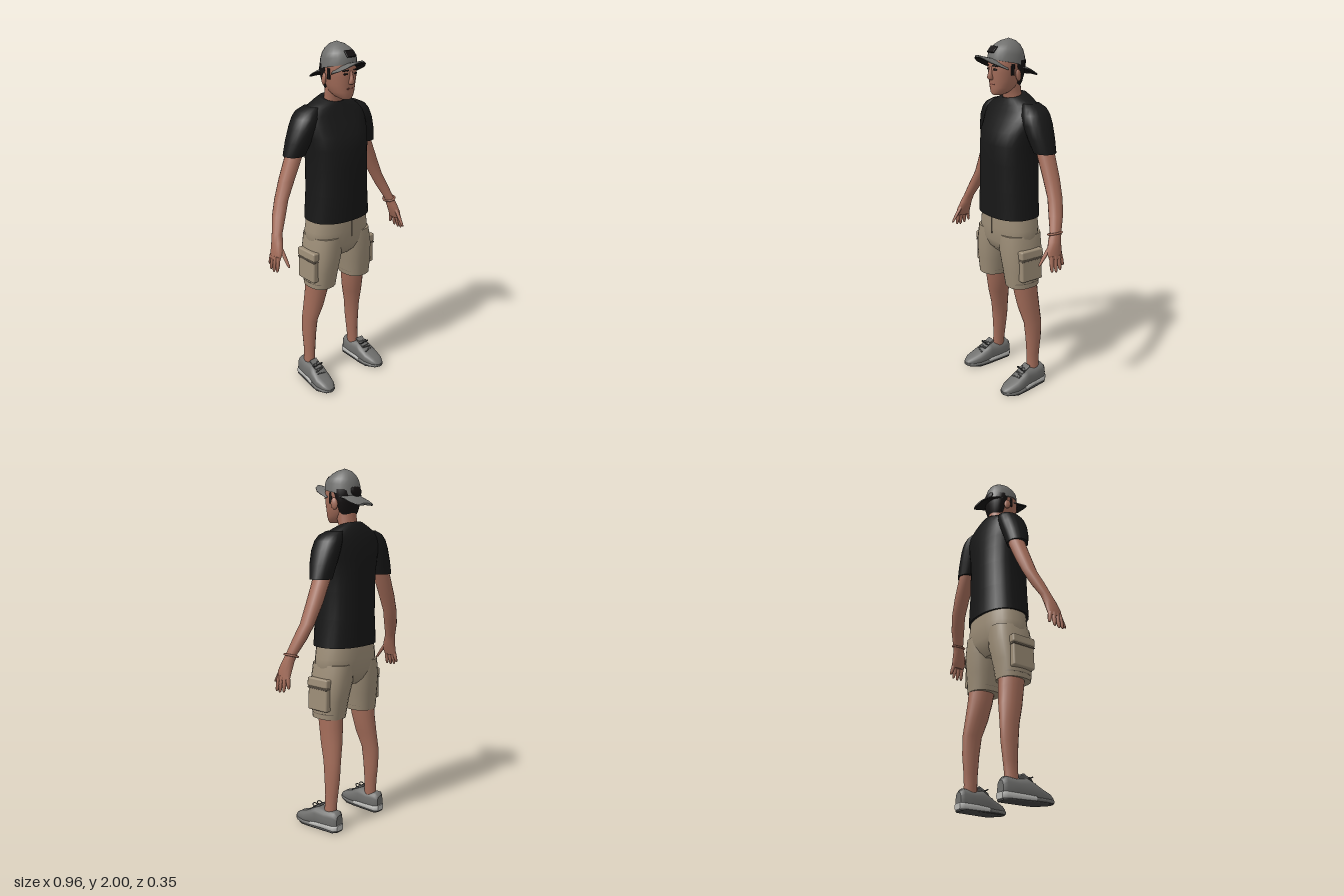
import * as THREE from 'three';
import { RoundedBoxGeometry } from 'three/addons/geometries/RoundedBoxGeometry.js';

const mat = (name, color) => {
  const m = new THREE.MeshStandardMaterial({ color });
  m.name = name;
  return m;
};

// Skin a row of elliptical rings [t, cx, c2, rx, r2, tilt] along y (c2 = z) or z (c2 = y).
// s mirrors the centres; e < 1 squares the ellipse; droop bends the sides down.
function loft(rings, { s = 1, n = 20, e = 1, axis = 'y', droop = 0 } = {}) {
  const pos = [], idx = [];
  const pw = v => Math.sign(v) * Math.abs(v) ** e;
  const rows = [...rings].sort((a, b) => a[0] - b[0]);
  const addRing = ([t, cx, c2, rx, r2, tilt = 0]) => {
    for (let j = 0; j < n; j++) {
      const a = (j / n) * Math.PI * 2, dx = rx * pw(Math.cos(a)), d2 = r2 * pw(Math.sin(a));
      if (axis === 'y') pos.push(cx * s + dx, t - tilt * d2, c2 - d2);
      else pos.push(cx * s + dx, c2 + d2 - droop * dx * dx, t);
    }
  };
  rows.forEach(addRing);
  for (let i = 0; i < rows.length - 1; i++) for (let j = 0; j < n; j++) {
    const k = (j + 1) % n, a = i * n + j, b = i * n + k, c = b + n, d = a + n;
    idx.push(a, b, c, a, c, d);
  }
  [[rows[0], true], [rows[rows.length - 1], false]].forEach(([r, first]) => {
    const base = pos.length / 3;
    addRing(r);
    pos.push(...(axis === 'y' ? [r[1] * s, r[0], r[2]] : [r[1] * s, r[2], r[0]]));
    for (let j = 0; j < n; j++) {
      const a = base + j, b = base + (j + 1) % n;
      first ? idx.push(base + n, b, a) : idx.push(base + n, a, b);
    }
  });
  const g = new THREE.BufferGeometry();
  g.setAttribute('position', new THREE.Float32BufferAttribute(pos, 3));
  g.setIndex(idx);
  g.computeVertexNormals();
  return g;
}

export function createModel() {
  const model = new THREE.Group();
  const skin = mat('skin', 0xa46d5a), shirt = mat('black cloth', 0x171717), tan = mat('khaki', 0x9c8d77);
  const seam = mat('dark khaki', 0x75695a), grey = mat('grey cloth', 0x6e6e6c), hair = mat('dark hair', 0x151212);
  const sole = mat('pale rubber', 0xb9b9b6), lace = mat('dark grey', 0x444443), lip = mat('lip', 0x80483e);

  const add = (name, geo, material, p = [0, 0, 0], r = [0, 0, 0], sc = [1, 1, 1]) => {
    const m = new THREE.Mesh(geo, material);
    m.name = name;
    m.position.set(...p); m.rotation.set(...r); m.scale.set(...sc);
    model.add(m);
    return m;
  };
  const ball = new THREE.SphereGeometry(1, 14, 10);
  const box = (x, y, z, r = 0.004) => new RoundedBoxGeometry(x, y, z, 2, r);

  // Shirt body, neck
  add('shirt', loft([
    [1.045, 0, -0.022, 0.195, 0.142], [1.2, 0, -0.022, 0.181, 0.142], [1.35, 0, -0.024, 0.177, 0.142],
    [1.45, 0, -0.026, 0.182, 0.141], [1.52, 0, -0.035, 0.193, 0.132], [1.58, 0, -0.05, 0.205, 0.112],
    [1.63, 0, -0.057, 0.205, 0.095], [1.662, 0, -0.06, 0.17, 0.082, -0.05],
    [1.69, 0, -0.058, 0.11, 0.07, -0.15], [1.705, 0, -0.055, 0.072, 0.06, -0.25],
  ], { n: 28, e: 0.85 }), shirt);
  add('neck', loft([[1.63, 0, -0.05, 0.062, 0.05], [1.69, 0, -0.046, 0.058, 0.048],
    [1.73, 0, -0.036, 0.056, 0.052], [1.8, 0, -0.02, 0.06, 0.06]]), skin);

  // Shorts seat and fly
  add('shortsSeat', loft([[1.06, 0, -0.025, 0.183, 0.126], [0.98, 0, -0.026, 0.196, 0.129],
    [0.9, 0, -0.024, 0.2, 0.122], [0.85, 0, -0.022, 0.15, 0.1], [0.82, 0, -0.022, 0.08, 0.07]],
    { n: 28, e: 0.85 }), tan);
  add('flySeam', box(0.006, 0.1, 0.006, 0.002), seam, [0.008, 0.99, 0.102]);

  for (const s of [1, -1]) {
    const side = s > 0 ? 'left' : 'right';
    const part = (name, rings, material, o = {}) => add(side + name, loft(rings, { s, ...o }), material);

    // Sleeve and arm
    part('Sleeve', [[1.425, 0.25, -0.075, 0.062, 0.06, 0], [1.5, 0.226, -0.068, 0.068, 0.075],
      [1.57, 0.2, -0.064, 0.07, 0.084], [1.62, 0.18, -0.064, 0.066, 0.082],
      [1.65, 0.165, -0.066, 0.056, 0.07], [1.672, 0.135, -0.068, 0.035, 0.05]], shirt);
    part('Arm', [[1.48, 0.23, -0.078, 0.045, 0.05], [1.4, 0.26, -0.079, 0.045, 0.05],
      [1.3, 0.304, -0.077, 0.042, 0.047], [1.2, 0.348, -0.07, 0.035, 0.043],
      [1.12, 0.384, -0.048, 0.034, 0.041], [1.04, 0.419, -0.02, 0.026, 0.033],
      [1.0, 0.43, -0.006, 0.027, 0.038], [0.95, 0.443, 0.006, 0.023, 0.047],
      [0.91, 0.454, 0.003, 0.015, 0.042]], skin, { n: 14 });

    // Fingers as [start, end] points, thumb last
    [[[0.455, 0.93, 0.034], [0.47, 0.846, 0.04]], [[0.456, 0.93, 0.013], [0.473, 0.842, 0.014]],
      [[0.456, 0.93, -0.008], [0.471, 0.848, -0.014]], [[0.452, 0.93, -0.026], [0.46, 0.865, -0.04]],
      [[0.434, 0.985, 0.02], [0.43, 0.88, 0.095]]].forEach(([a, b], i) => {
      const ring = (t, r) => [a[1] + (b[1] - a[1]) * t, a[0] + (b[0] - a[0]) * t, a[2] + (b[2] - a[2]) * t, r, r];
      part(i < 4 ? 'Finger' : 'Thumb', [ring(0, 0.012), ring(0.6, 0.011), ring(0.9, 0.008), ring(1, 0.004)], skin, { n: 8 });
    });

    // Shorts leg with hem and cargo pocket
    part('ShortsLeg', [[0.645, 0.132, -0.02, 0.081, 0.095], [0.75, 0.125, -0.02, 0.092, 0.108],
      [0.85, 0.112, -0.023, 0.1, 0.122], [0.95, 0.1, -0.025, 0.095, 0.12]], tan, { e: 0.85 });
    part('Hem', [[0.672, 0.1305, -0.02, 0.0845, 0.098], [0.677, 0.1305, -0.02, 0.0845, 0.098]], seam, { e: 0.85 });
    add(side + 'Pocket', box(0.045, 0.16, 0.14, 0.01), tan, [s * 0.207, 0.775, -0.02], [0, 0, s * 0.04]);
    add(side + 'PocketSeam', box(0.047, 0.008, 0.144, 0.003), seam, [s * 0.209, 0.822, -0.02]);
    add(side + 'PocketFlap', box(0.05, 0.05, 0.148, 0.01), tan, [s * 0.207, 0.852, -0.02], [0, 0, s * 0.08]);

    // Leg
    part('Leg', [[0.72, 0.134, -0.03, 0.066, 0.08], [0.6, 0.14, -0.042, 0.061, 0.073],
      [0.5, 0.151, -0.056, 0.052, 0.068], [0.4, 0.167, -0.074, 0.039, 0.057],
      [0.3, 0.171, -0.078, 0.036, 0.05], [0.2, 0.173, -0.075, 0.031, 0.041],
      [0.14, 0.176, -0.072, 0.03, 0.038], [0.08, 0.18, -0.07, 0.032, 0.04]], skin, { n: 16 });

    // Shoe: upper, two-part sole, outsole, tongue and laces
    part('ShoeUpper', [[-0.143, 0.182, 0.055, 0.025, 0.045], [-0.125, 0.183, 0.064, 0.042, 0.056],
      [-0.06, 0.185, 0.06, 0.047, 0.054], [0, 0.189, 0.064, 0.051, 0.058], [0.03, 0.192, 0.056, 0.055, 0.05],
      [0.08, 0.196, 0.041, 0.055, 0.037], [0.13, 0.198, 0.032, 0.044, 0.028], [0.155, 0.199, 0.025, 0.028, 0.019],
      [0.165, 0.2, 0.021, 0.012, 0.01]], grey, { axis: 'z', e: 0.75 });
    part('HeelSole', [[-0.148, 0.182, 0.026, 0.026, 0.017], [-0.128, 0.183, 0.026, 0.046, 0.019],
      [-0.05, 0.185, 0.025, 0.05, 0.018], [0.03, 0.192, 0.022, 0.059, 0.013]], sole, { axis: 'z', e: 0.5 });
    part('ToeSole', [[0.03, 0.192, 0.018, 0.059, 0.013], [0.08, 0.196, 0.017, 0.06, 0.012],
      [0.13, 0.198, 0.019, 0.048, 0.011], [0.157, 0.199, 0.021, 0.03, 0.01], [0.168, 0.2, 0.022, 0.012, 0.006]],
      grey, { axis: 'z', e: 0.5 });
    part('Outsole', [[-0.142, 0.182, 0.007, 0.026, 0.007], [-0.125, 0.183, 0.006, 0.045, 0.006],
      [0.03, 0.192, 0.006, 0.058, 0.006], [0.09, 0.196, 0.006, 0.058, 0.006], [0.15, 0.199, 0.012, 0.032, 0.006]],
      lace, { axis: 'z', e: 0.5 });
    add(side + 'Tongue', box(0.05, 0.012, 0.07), grey, [s * 0.189, 0.122, 0.005], [0.5, 0, 0]);
    for (let i = 0; i < 4; i++)
      add(side + 'Lace', box(0.056, 0.007, 0.009, 0.003), lace,
        [s * 0.192, 0.126 - i * 0.013, 0.006 + i * 0.018], [0.55, (i % 2 ? 0.2 : -0.2) * s, 0]);
    add(side + 'LaceLoop', new THREE.TorusGeometry(0.014, 0.003, 6, 14), lace, [s * 0.189 + 0.018, 0.125, 0.022], [1.1, 0, 0]);
    add(side + 'LaceLoop', new THREE.TorusGeometry(0.014, 0.003, 6, 14), lace, [s * 0.189 - 0.018, 0.125, 0.022], [1.1, 0, 0]);

    // Ear, sideburn, eye and brow
    add(side + 'Ear', ball, skin, [s * 0.086, 1.815, -0.02], [0.15, s * 0.35, 0], [0.011, 0.032, 0.02]);
    add(side + 'Sideburn', box(0.01, 0.06, 0.022), hair, [s * 0.08, 1.845, 0.012]);
    add(side + 'Eye', box(0.024, 0.008, 0.008, 0.003), hair, [s * 0.033, 1.846, 0.091], [0, s * 0.35, 0]);
    add(side + 'Brow', box(0.034, 0.007, 0.008, 0.003), hair, [s * 0.034, 1.864, 0.092], [0, s * 0.35, s * -0.1]);
  }
  add('bracelet', new THREE.TorusGeometry(0.033, 0.006, 8, 20), skin, [0.418, 1.035, -0.018], [Math.PI / 2, 0.3, 0], [0.95, 1.15, 1]);

  // Head, nose, mouth and hair
  add('head', loft([[1.712, 0, 0.05, 0.026, 0.03], [1.725, 0, 0.036, 0.044, 0.052], [1.75, 0, 0.018, 0.062, 0.072],
    [1.785, 0, 0.008, 0.072, 0.084], [1.83, 0, 0.004, 0.08, 0.093], [1.87, 0, 0, 0.084, 0.097],
    [1.92, 0, -0.005, 0.08, 0.092]], { n: 24, e: 0.92 }), skin);
  add('nose', loft([[1.792, 0, 0.094, 0.012, 0.01], [1.802, 0, 0.1, 0.018, 0.018], [1.825, 0, 0.098, 0.011, 0.014],
    [1.86, 0, 0.092, 0.008, 0.009]], { n: 10 }), skin);
  add('mouth', box(0.042, 0.009, 0.008, 0.003), lip, [0, 1.769, 0.087]);
  add('hair', loft([[1.755, 0, -0.045, 0.052, 0.035], [1.78, 0, -0.045, 0.066, 0.044], [1.82, 0, -0.045, 0.079, 0.052],
    [1.86, 0, -0.04, 0.088, 0.062], [1.89, 0, -0.03, 0.088, 0.07]]), hair);

  // Cap crown, button, patch and rear opening
  add('capCrown', loft([[1.875, 0, -0.005, 0.093, 0.104, 0.2], [1.92, 0, -0.005, 0.09, 0.1, 0.13],
    [1.945, 0, -0.008, 0.08, 0.089, 0.08], [1.968, 0, -0.012, 0.063, 0.07, 0.04],
    [1.987, 0, -0.016, 0.038, 0.044, 0.02], [1.996, 0, -0.018, 0.012, 0.014]], { n: 24 }), grey);
  add('capButton', ball, grey, [0, 1.995, -0.018], [0, 0, 0], [0.01, 0.005, 0.01]);
  add('capPatch', box(0.058, 0.042, 0.009, 0.004), hair, [0, 1.946, 0.085], [-0.7, 0, 0]);
  add('capOpening', ball, hair, [0, 1.88, -0.1], [0.2, 0, 0], [0.042, 0.03, 0.014]);

  // Front and back brims, each with a dark underside
  const front = [[0.04, -0.003, 1.888, 0.088], [0.1, -0.004, 1.899, 0.074], [0.14, -0.005, 1.908, 0.062],
    [0.165, -0.005, 1.914, 0.042], [0.177, -0.005, 1.917, 0.018]];
  const back = [[-0.17, 0, 1.812, 0.05], [-0.16, 0, 1.82, 0.072], [-0.13, 0, 1.838, 0.085],
    [-0.09, 0, 1.856, 0.088], [-0.04, 0, 1.868, 0.085]];
  [['frontBrim', front, 5.5], ['backBrim', back, 2]].forEach(([name, rows, droop]) => {
    add(name, loft(rows.map(r => [...r, 0.005]), { axis: 'z', droop }), grey);
    add(name + 'Underside', loft(rows.map(([z, x, y, rx]) => [z, x, y - 0.004, rx * 0.97, 0.003]), { axis: 'z', droop }), hair);
  });

  return model;
}
